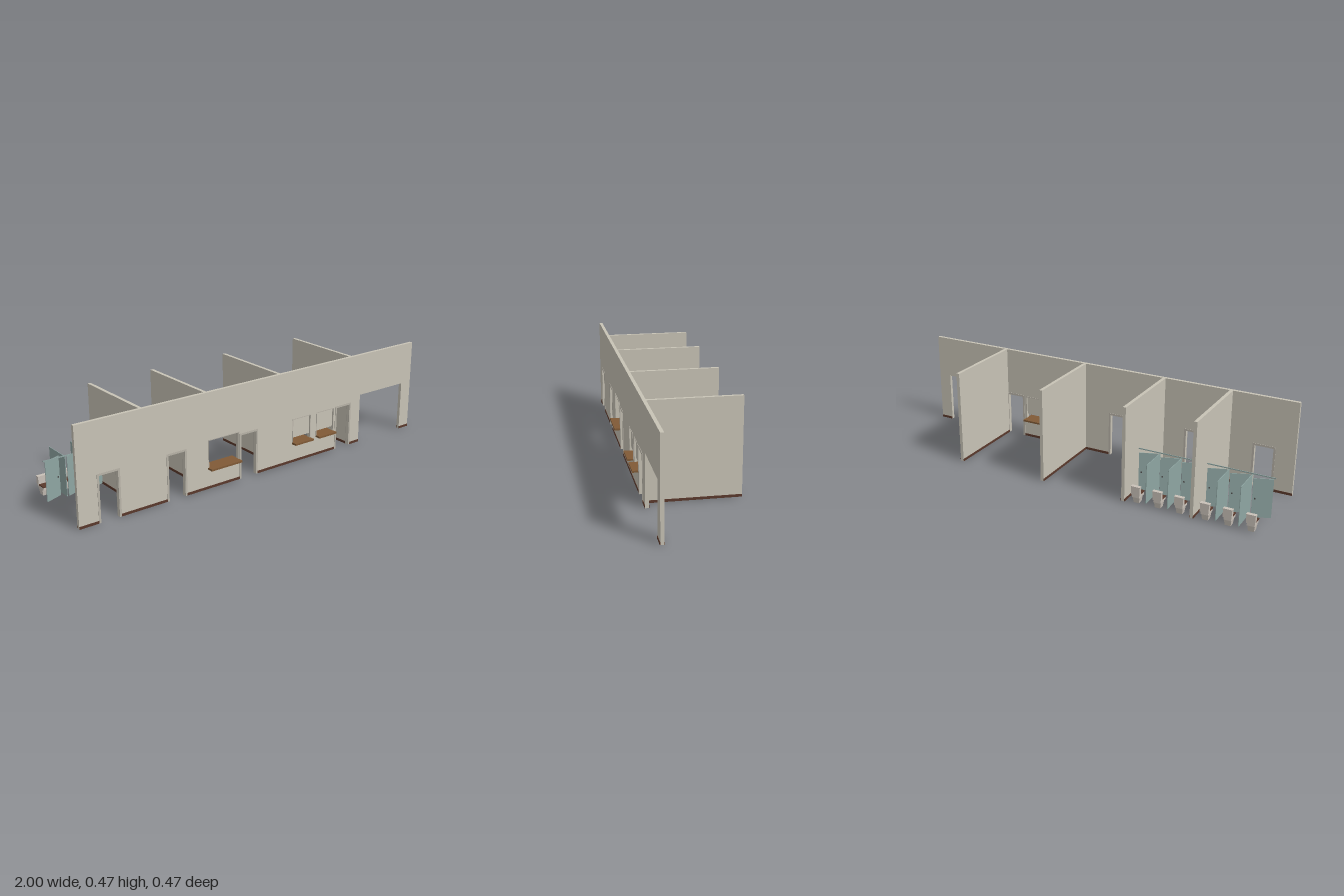
import * as THREE from 'three';

const mat = (name, color, side = THREE.FrontSide) => {
  const m = new THREE.MeshStandardMaterial({ color, side });
  m.name = name;
  return m;
};

export function createModel() {
  const root = new THREE.Group();
  root.name = 'stationInterior';
  const plaster = mat('plaster', 0xc8c3b6);
  const trim = mat('greyTrim', 0xb8b3a8);
  const skirting = mat('darkSkirting', 0x5a392c);
  const wood = mat('counterWood', 0x805a36);
  const teal = mat('tealPanel', 0x8fa6a3);
  const china = mat('china', 0xc9c1b8);
  const metal = mat('darkMetal', 0x4a4a48);

  // box given by its minimum and maximum corners
  const box = (name, m, x0, x1, y0, y1, z0, z1, parent = root) => {
    const mesh = new THREE.Mesh(new THREE.BoxGeometry(x1 - x0, y1 - y0, z1 - z0), m);
    mesh.position.set((x0 + x1) / 2, (y0 + y1) / 2, (z0 + z1) / 2);
    mesh.name = name;
    parent.add(mesh);
    return mesh;
  };

  const H = 0.465, ZB = 0.19, ZF = 0.206, BACK = -0.235;
  const doors = [[-0.895, -0.803], [-0.545, -0.458], [-0.138, -0.05], [0.469, 0.556]];
  const gate = [0.63, 0.935];
  const doorTop = 0.217, gateTop = 0.253;
  const windows = [[-0.325, -0.155, 0.235], [0.18, 0.29, 0.22], [0.335, 0.445, 0.22]];
  const sill = 0.1;

  // front wall with doorways notched from the floor and window holes
  const s = new THREE.Shape();
  s.moveTo(-1, 0);
  [...doors.map(d => [...d, doorTop]), [...gate, gateTop]].forEach(([a, b, t]) => {
    s.lineTo(a, 0); s.lineTo(a, t); s.lineTo(b, t); s.lineTo(b, 0);
  });
  s.lineTo(1, 0); s.lineTo(1, H); s.lineTo(-1, H); s.closePath();
  windows.forEach(([a, b, t]) => {
    const h = new THREE.Path();
    h.moveTo(a, sill); h.lineTo(a, t); h.lineTo(b, t); h.lineTo(b, sill); h.closePath();
    s.holes.push(h);
  });
  const wall = new THREE.Mesh(
    new THREE.ExtrudeGeometry(s, { depth: ZF - ZB, bevelEnabled: false }), plaster);
  wall.position.z = ZB;
  wall.name = 'frontWall';
  root.add(wall);

  // trim around openings, on both faces of the wall
  const W = 0.01, T = 0.002;
  const frame = (name, a, b, y0, y1, w) => {
    [[ZF, ZF + T], [ZB - T, ZB]].forEach(([z0, z1]) => {
      box(name + 'Left', trim, b, b + w, y0, y1, z0, z1);
      box(name + 'Right', trim, a - w, a, y0, y1, z0, z1);
      box(name + 'Head', trim, a - w, b + w, y1, y1 + w, z0, z1);
    });
  };
  doors.forEach(([a, b]) => frame('doorTrim', a, b, 0, doorTop, W));
  windows.forEach(([a, b, t]) => frame('windowTrim', a, b, sill, t, 0.004));

  // lowered shutters in the two small windows
  windows.slice(1).forEach(([a, b, t]) => box('windowShutter', plaster, a, b, 0.125, t - 0.003, 0.196, 0.2));

  // counters through the windows
  [[-0.33, -0.153], [0.176, 0.293], [0.332, 0.447]].forEach(([a, b]) =>
    box('counter', wood, a, b, 0.095, 0.104, 0.155, 0.235));

  // skirting between the openings of the front wall
  const edges = [-1, ...doors.flatMap(([a, b]) => [a - W, b + W]), ...gate, 1];
  for (let i = 0; i < edges.length; i += 2) {
    box('frontSkirting', skirting, edges[i], edges[i + 1], 0, 0.012, ZF, ZF + T);
    box('backSkirting', skirting, edges[i], edges[i + 1], 0, 0.012, ZB - T, ZB);
  }

  // dividing walls running back
  [-0.673, -0.333, 0.099, 0.566].forEach(x => {
    box('dividingWall', plaster, x - 0.008, x + 0.008, 0, H, BACK, ZB);
    [-1, 1].forEach(k => {
      const c = x + k * 0.009;
      box('dividerSkirting', skirting, c - 0.001, c + 0.001, 0, 0.012, BACK, ZB);
    });
  });

  // toilet: tapered foot, bowl, seat and tank
  const toilet = x => {
    const g = new THREE.Group();
    g.name = 'toilet';
    g.position.set(x, 0, 0);
    const foot = new THREE.CylinderGeometry(0.025, 0.019, 0.03, 4, 1);
    foot.rotateY(Math.PI / 4);
    const footMesh = new THREE.Mesh(foot, china);
    footMesh.name = 'toiletFoot';
    footMesh.material.flatShading = true;
    footMesh.position.set(0, 0.015, -0.207);
    g.add(footMesh);
    box('toiletBowl', china, -0.018, 0.018, 0.03, 0.044, -0.23, -0.178, g);
    box('toiletSeat', skirting, -0.019, 0.019, 0.044, 0.049, -0.217, -0.175, g);
    box('toiletTank', china, -0.021, 0.021, 0.044, 0.082, BACK, -0.217, g);
    box('tankLid', china, -0.0225, 0.0225, 0.082, 0.087, BACK, -0.216, g);
    root.add(g);
  };

  // stalls: ajar doors, partitions and a thin head rail for each room
  const stallFront = -0.09, y0 = 0.015, y1 = 0.205;
  [[-1, -0.681], [-0.665, -0.341]].forEach(([a, b], room) => {
    box('stallRail', teal, a, b, 0.208, 0.213, stallFront - 0.0015, stallFront + 0.0015);
    for (let i = 0; i < 3; i++) {
      const x = (room ? -0.663 : -1) + i * 0.107;
      if (i) box('stallPartition', teal, x - 0.0015, x + 0.0015, y0, 0.208, BACK, stallFront);
      const door = new THREE.Group();
      door.name = 'stallDoor';
      door.position.set(x + 0.008, 0, stallFront);
      door.rotation.y = 0.37;
      box('doorPanel', teal, 0, 0.089, y0, y1, -0.0015, 0.0015, door);
      box('doorHandle', metal, 0.074, 0.08, 0.105, 0.111, -0.005, 0.005, door);
      root.add(door);
      toilet(x + 0.053);
    }
  });

  return root;
}
